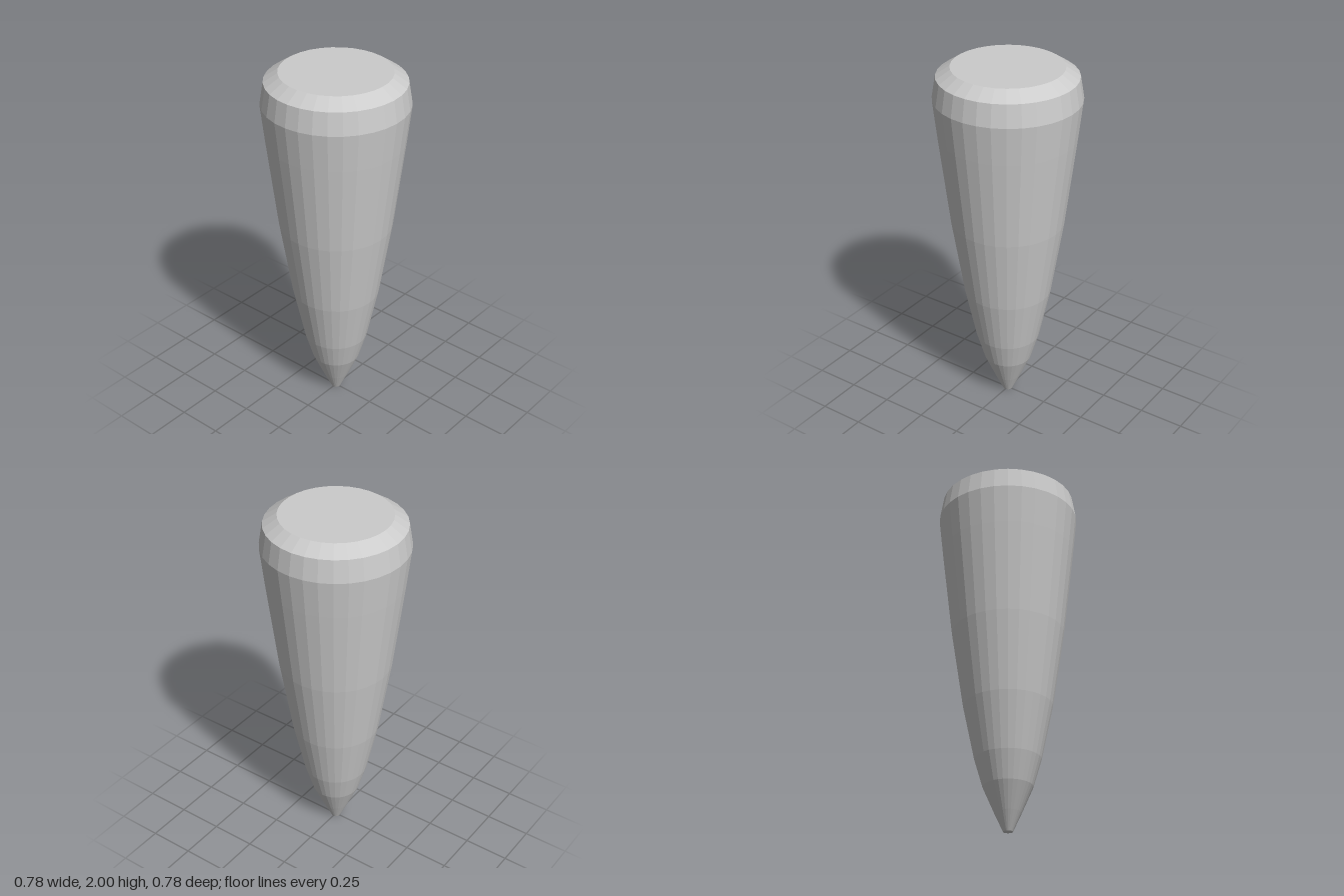
import * as THREE from 'three';

export function createModel() {
  const group = new THREE.Group();
  group.name = 'taperedPeg';

  // Profile from the blunt tip up to the chamfered head: [radius, height]
  const profile = [
    [0, 0], [0.026, 0], [0.072, 0.1], [0.133, 0.24], [0.177, 0.39], [0.24, 0.69],
    [0.307, 1.12], [0.367, 1.62], [0.39, 1.83], [0.37, 1.95], [0.295, 2], [0, 2],
  ].map(([r, y]) => new THREE.Vector2(r, y));

  // Faceted body, closed at both ends
  const body = new THREE.Mesh(
    new THREE.LatheGeometry(profile, 32),
    new THREE.MeshStandardMaterial({ color: 0xcccccc, flatShading: true }),
  );
  body.name = 'pegBody';
  group.add(body);
  return group;
}
